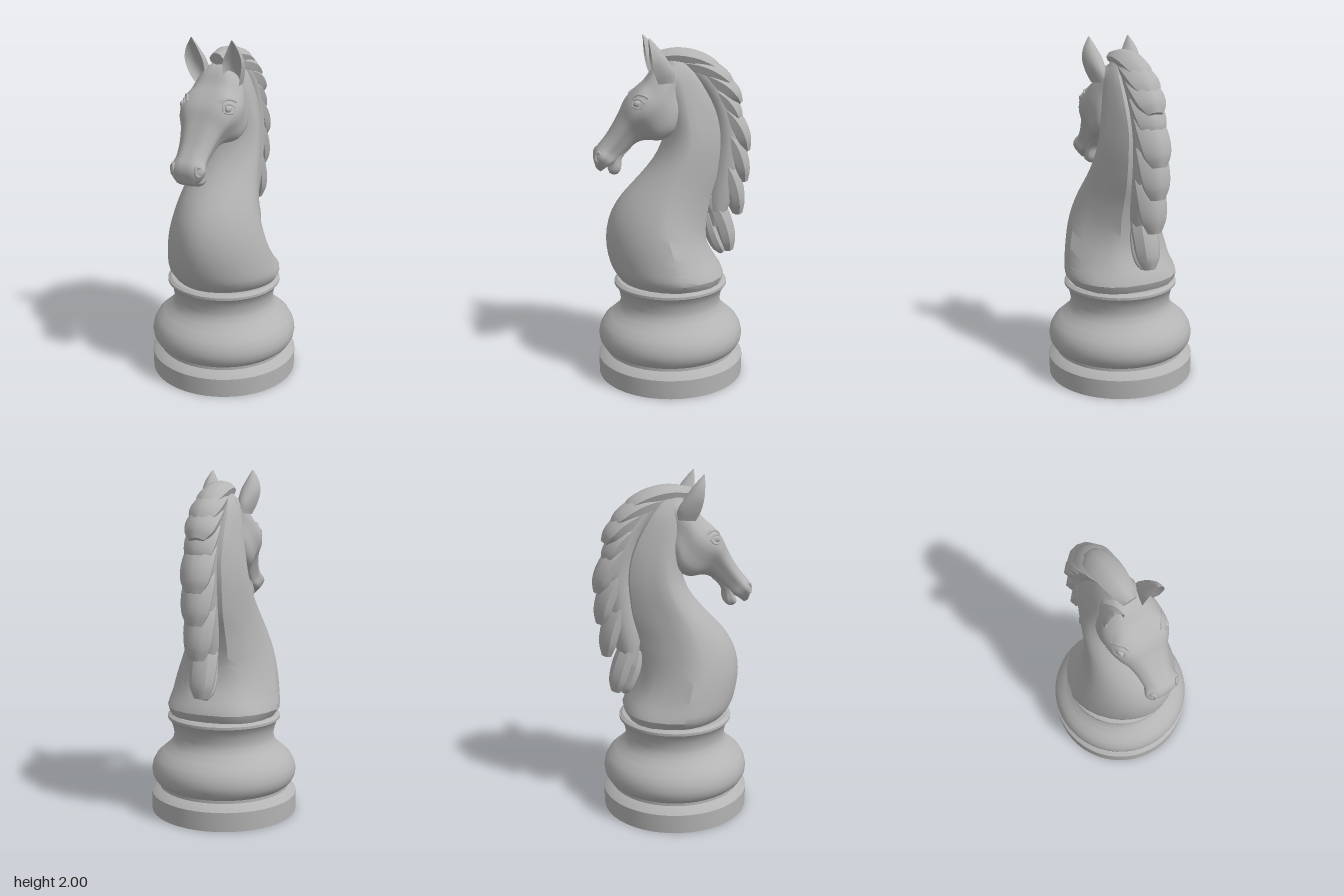
import * as THREE from 'three';
import { toCreasedNormals } from 'three/addons/utils/BufferGeometryUtils.js';

const V = (x, y, z) => new THREE.Vector3(x, y, z);

// Creases are found at a larger scale so that small details keep their edges
function crease(geo, angle) {
  geo.scale(100, 100, 100);
  const out = toCreasedNormals(geo, angle);
  out.scale(0.01, 0.01, 0.01);
  return out;
}

// Closed skin over a row of rings, smoothed along the row and, if asked, around each ring
function loft(rings, { along = 4, around = 0, angle = 0.7 } = {}) {
  if (around) {
    rings = rings.map((r) => {
      const c = new THREE.CatmullRomCurve3(r, true);
      return Array.from({ length: around }, (_, k) => c.getPoint(k / around));
    });
  }
  const n = rings[0].length;
  const steps = (rings.length - 1) * along;
  const curves = rings[0].map((_, j) => new THREE.CatmullRomCurve3(rings.map((r) => r[j])));
  const pts = [];
  for (let i = 0; i <= steps; i++) for (const c of curves) pts.push(c.getPoint(i / steps));
  const faces = [];
  for (let i = 0; i < steps; i++) {
    for (let j = 0; j < n; j++) {
      const a = i * n + j, b = i * n + ((j + 1) % n);
      faces.push([a, b, a + n], [b, b + n, a + n]);
    }
  }
  // End caps
  for (const [start, flip] of [[0, true], [steps * n, false]]) {
    const centre = V(0, 0, 0);
    for (let j = 0; j < n; j++) centre.addScaledVector(pts[start + j], 1 / n);
    const c = pts.push(centre) - 1;
    for (let j = 0; j < n; j++) {
      const a = start + j, b = start + ((j + 1) % n);
      faces.push(flip ? [c, b, a] : [c, a, b]);
    }
  }
  // Turn the skin outward
  let volume = 0;
  for (const [a, b, c] of faces) volume += pts[a].dot(pts[b].clone().cross(pts[c]));
  if (volume < 0) faces.forEach((f) => f.reverse());
  const geo = new THREE.BufferGeometry().setFromPoints(pts);
  geo.setIndex(faces.flat());
  return crease(geo, angle);
}

// Full ring from the points of its +x half, whose first and last points lie on x = 0
const mirrorRing = (half) =>
  half.concat(half.slice(1, -1).reverse().map((p) => V(-p.x, p.y, p.z)));

// Head section: top (z, y), bottom (z, y), half widths at top, middle and bottom
function headRing([tz, ty, bz, by, wt, wm, wb]) {
  const half = [[0, 0], [0.01, wt * 0.6], [0.08, wt], [0.32, wm], [0.6, wm * 0.6 + wb * 0.4],
    [0.88, wb], [0.98, wb * 0.6], [1, 0]];
  return mirrorRing(half.map(([t, x]) => V(x, ty + (by - ty) * t, tz + (bz - tz) * t)));
}

// Neck section: height, front z, back z, z of side ridge, half width, back half width, back fullness
function neckRing([y, zf, zb, zw, w, wb, full]) {
  const half = [];
  for (let k = 0; k <= 8; k++) {
    const a = (k / 8) * Math.PI / 2;
    half.push(V(Math.sin(a) ** 1.08 * w, y, zw + Math.abs(Math.cos(a)) ** 1.08 * (zf - zw)));
  }
  for (const t of [0.25, 0.5, 0.75]) {
    const bulge = full * Math.sin(t * Math.PI);
    half.push(V(w + (wb - w) * t + bulge, y, zw + (zb - zw) * t - bulge));
  }
  half.push(V(wb, y, zb + 0.01), V(0, y, zb));
  return mirrorRing(half);
}

// Mane lock: tapered, ridged blade swept along a bend from root to tip (z, y pairs)
function lockGeometry(root, bend, tip, rootWidth, width, depth) {
  const path = new THREE.QuadraticBezierCurve3(
    V(0, root[1], root[0]), V(0, bend[1], bend[0]), V(0, tip[1], tip[0]));
  const shape = [[0, 0.75], [0.3, 1], [0.6, 1.05], [0.85, 0.9], [1, 0.5]];
  const rings = shape.map(([t, s]) => {
    const p = path.getPoint(t), d = path.getTangent(t);
    const out = V(0, d.z, -d.y).multiplyScalar(d.z < 0 ? -1 : 1);
    const w = (rootWidth + (width - rootWidth) * Math.min(1, t * 2.5)) * s;
    const section = [[0, 1], [0.55, 0.8], [1, 0.1], [0.85, -0.6], [0, -1]];
    return mirrorRing(section.map(([x, h]) =>
      p.clone().addScaledVector(out, h * depth * s).add(V(x * w, 0, 0))));
  });
  return loft(rings, { along: 3, angle: 0.6 });
}

// Ear: cupped blade open to the front
function earGeometry(side) {
  const levels = [[1.75, 0.1, 0.052, 0.04, 0.052], [1.81, 0.11, 0.068, 0.053, 0.06],
    [1.88, 0.12, 0.096, 0.057, 0.046], [1.94, 0.127, 0.122, 0.037, 0.027], [2, 0.125, 0.153, 0.003, 0.003]];
  const rings = levels.map(([y, cx, cz, w, d]) => Array.from({ length: 16 }, (_, k) => {
    const a = (k / 16) * Math.PI * 2, s = Math.sin(a);
    return V(side * (cx + Math.cos(a) * w), y, cz + d * (1 - (s < 0 ? 2 : 1.1) * Math.abs(s)));
  }));
  return loft(rings, { along: 4, angle: 0.9 });
}

export function createModel() {
  const model = new THREE.Group();
  model.name = 'knightChessPiece';
  const grey = new THREE.MeshStandardMaterial({ color: 0xb4b4b4 });
  grey.name = 'grey';
  const add = (name, geo, parent = model) => {
    const mesh = new THREE.Mesh(geo, grey);
    mesh.name = name;
    parent.add(mesh);
    return mesh;
  };

  // Turned base: foot plate, round bulge, waist and collar
  const profile = [[0, 0], [0.432, 0], [0.434, 0.112], [0.412, 0.132], [0.385, 0.148], [0.385, 0.165],
    [0.408, 0.185], [0.425, 0.215], [0.43, 0.25], [0.422, 0.29], [0.4, 0.33], [0.36, 0.365], [0.32, 0.4],
    [0.3, 0.435], [0.296, 0.465], [0.303, 0.505], [0.315, 0.54], [0.333, 0.56], [0.333, 0.575],
    [0.315, 0.588], [0, 0.588]];
  const base = new THREE.LatheGeometry(profile.map(([r, y]) => new THREE.Vector2(r, y)), 48);
  add('base', crease(base, 0.5)).position.z = 0.018;

  // Neck and chest
  const neck = [
    [0.575, 0.3, -0.265, 0, 0.295, 0.1, 0.042],
    [0.635, 0.347, -0.292, 0, 0.34, 0.11, 0.04],
    [0.7, 0.375, -0.258, 0.02, 0.332, 0.11, 0.025],
    [0.8, 0.395, -0.2, 0.045, 0.313, 0.11, 0.014],
    [0.9, 0.393, -0.185, 0.07, 0.288, 0.1, 0.012],
    [1.0, 0.364, -0.195, 0.075, 0.26, 0.1, 0.01],
    [1.1, 0.3, -0.215, 0.055, 0.233, 0.095, 0.01],
    [1.2, 0.205, -0.245, 0.015, 0.21, 0.095, 0.008],
    [1.3, 0.12, -0.26, -0.035, 0.195, 0.095, 0.006],
    [1.4, 0.068, -0.268, -0.07, 0.182, 0.095, 0.004],
    [1.5, 0.05, -0.262, -0.075, 0.168, 0.09, 0.004],
    [1.6, 0.06, -0.235, -0.06, 0.15, 0.09, 0.004],
    [1.7, 0.08, -0.185, -0.04, 0.13, 0.085, 0.004],
    [1.8, 0.09, -0.12, -0.01, 0.1, 0.075, 0.004],
    [1.88, 0.06, -0.04, 0.01, 0.05, 0.04, 0],
  ];
  add('neck', loft(neck.map(neckRing), { along: 2, angle: 0.6 }));

  // Head, from poll to upper lip
  const headSections = [
    [0.0, 1.88, -0.04, 1.62, 0.06, 0.1, 0.08],
    [0.1, 1.835, -0.022, 1.56, 0.085, 0.14, 0.135],
    [0.165, 1.755, 0.005, 1.475, 0.115, 0.17, 0.15],
    [0.22, 1.705, 0.075, 1.425, 0.138, 0.174, 0.138],
    [0.27, 1.65, 0.165, 1.425, 0.12, 0.156, 0.1],
    [0.312, 1.57, 0.215, 1.41, 0.085, 0.122, 0.08],
    [0.375, 1.465, 0.275, 1.36, 0.065, 0.098, 0.065],
    [0.42, 1.408, 0.32, 1.32, 0.06, 0.094, 0.065],
    [0.45, 1.37, 0.355, 1.295, 0.065, 0.108, 0.08],
    [0.46, 1.33, 0.39, 1.275, 0.06, 0.092, 0.075],
    [0.45, 1.275, 0.42, 1.25, 0.04, 0.055, 0.045],
  ];
  const head = add('head', loft(headSections.map(headRing), { along: 4, around: 40, angle: 0.8 }));

  // Lower jaw and chin
  const jaw = [
    [0.3, 1.42, 0.235, 1.395, 0.05, 0.065, 0.055],
    [0.345, 1.335, 0.297, 1.325, 0.05, 0.062, 0.05],
    [0.368, 1.285, 0.306, 1.262, 0.05, 0.068, 0.058],
    [0.378, 1.258, 0.322, 1.236, 0.045, 0.06, 0.05],
    [0.372, 1.238, 0.345, 1.226, 0.02, 0.03, 0.025],
  ];
  add('lowerJaw', loft(jaw.map(headRing), { along: 4, around: 28, angle: 0.9 }));

  // Point on the side of the head at a given z and y
  const ray = new THREE.Raycaster();
  const onHead = (z, y, lift = 0) => {
    ray.set(V(1, y, z), V(-1, 0, 0));
    const hit = ray.intersectObject(head)[0];
    return V((hit ? hit.point.x : 0.1) + lift, y, z);
  };
  const ridge = (name, points, side, radius) => {
    const path = points.map(([z, y]) => onHead(z, y, -0.003)).map((p) => V(p.x * side, p.y, p.z));
    add(name, new THREE.TubeGeometry(new THREE.CatmullRomCurve3(path), 16, radius, 8));
  };

  for (const side of [1, -1]) {
    const label = side > 0 ? 'left' : 'right';
    add(label + 'Ear', earGeometry(side));

    // Eye with lids and brow
    const eye = add(label + 'Eye', new THREE.SphereGeometry(0.025, 20, 14));
    eye.position.copy(onHead(0.218, 1.645, -0.011));
    eye.position.x *= side;
    eye.scale.set(0.7, 0.85, 1.1);
    ridge(label + 'UpperLid', [[0.25, 1.632], [0.24, 1.66], [0.21, 1.67], [0.182, 1.65]], side, 0.007);
    ridge(label + 'LowerLid', [[0.25, 1.632], [0.23, 1.622], [0.205, 1.624], [0.182, 1.65]], side, 0.006);
    ridge(label + 'Brow', [[0.245, 1.668], [0.22, 1.688], [0.19, 1.69], [0.16, 1.675]], side, 0.009);

    // Nostril rim
    const nostril = add(label + 'Nostril', new THREE.TorusGeometry(0.021, 0.009, 8, 20));
    nostril.position.copy(onHead(0.437, 1.342, -0.012));
    nostril.position.x *= side;
    nostril.lookAt(nostril.position.clone().add(V(side * 0.75, 0.15, 0.65)));
    nostril.scale.set(0.8, 1.2, 1);
  }

  // Mane: inner crest with overlapping locks
  const mane = new THREE.Group();
  mane.name = 'mane';
  model.add(mane);
  const crest = [[0.07, 1.86, 0.04, 0.05], [-0.07, 1.85, 0.06, 0.06], [-0.19, 1.76, 0.08, 0.07],
    [-0.27, 1.62, 0.085, 0.075], [-0.31, 1.45, 0.085, 0.08], [-0.3, 1.25, 0.085, 0.08],
    [-0.265, 1.05, 0.08, 0.075], [-0.245, 0.9, 0.06, 0.045]];
  add('crest', loft(crest.map(([z, y, w, d], i) => {
    const a = crest[Math.max(0, i - 1)], b = crest[Math.min(crest.length - 1, i + 1)];
    const out = V(0, b[0] - a[0], a[1] - b[1]).normalize();
    return Array.from({ length: 12 }, (_, k) => V(Math.cos(k * Math.PI / 6) * w, y, z)
      .addScaledVector(out, Math.sin(k * Math.PI / 6) * d));
  }), { along: 3 }), mane);

  const locks = [
    [[0.1, 1.885], [-0.1, 1.925], [-0.27, 1.8], 0.058, 0.078, 0.045],
    [[-0.03, 1.85], [-0.2, 1.85], [-0.335, 1.715], 0.06, 0.09, 0.055],
    [[-0.11, 1.79], [-0.28, 1.77], [-0.38, 1.62], 0.07, 0.092, 0.058],
    [[-0.17, 1.72], [-0.32, 1.67], [-0.375, 1.5], 0.08, 0.09, 0.058],
    [[-0.22, 1.63], [-0.375, 1.55], [-0.425, 1.34], 0.08, 0.09, 0.06],
    [[-0.25, 1.5], [-0.38, 1.4], [-0.415, 1.16], 0.08, 0.088, 0.06],
    [[-0.24, 1.34], [-0.36, 1.22], [-0.385, 0.965], 0.08, 0.085, 0.06],
    [[-0.2, 1.1], [-0.3, 0.95], [-0.335, 0.74], 0.07, 0.075, 0.06],
    [[-0.2, 0.98], [-0.225, 0.84], [-0.295, 0.73], 0.055, 0.06, 0.042],
  ];
  locks.forEach((l, i) => add('lock' + (i + 1), lockGeometry(...l), mane));

  return model;
}
